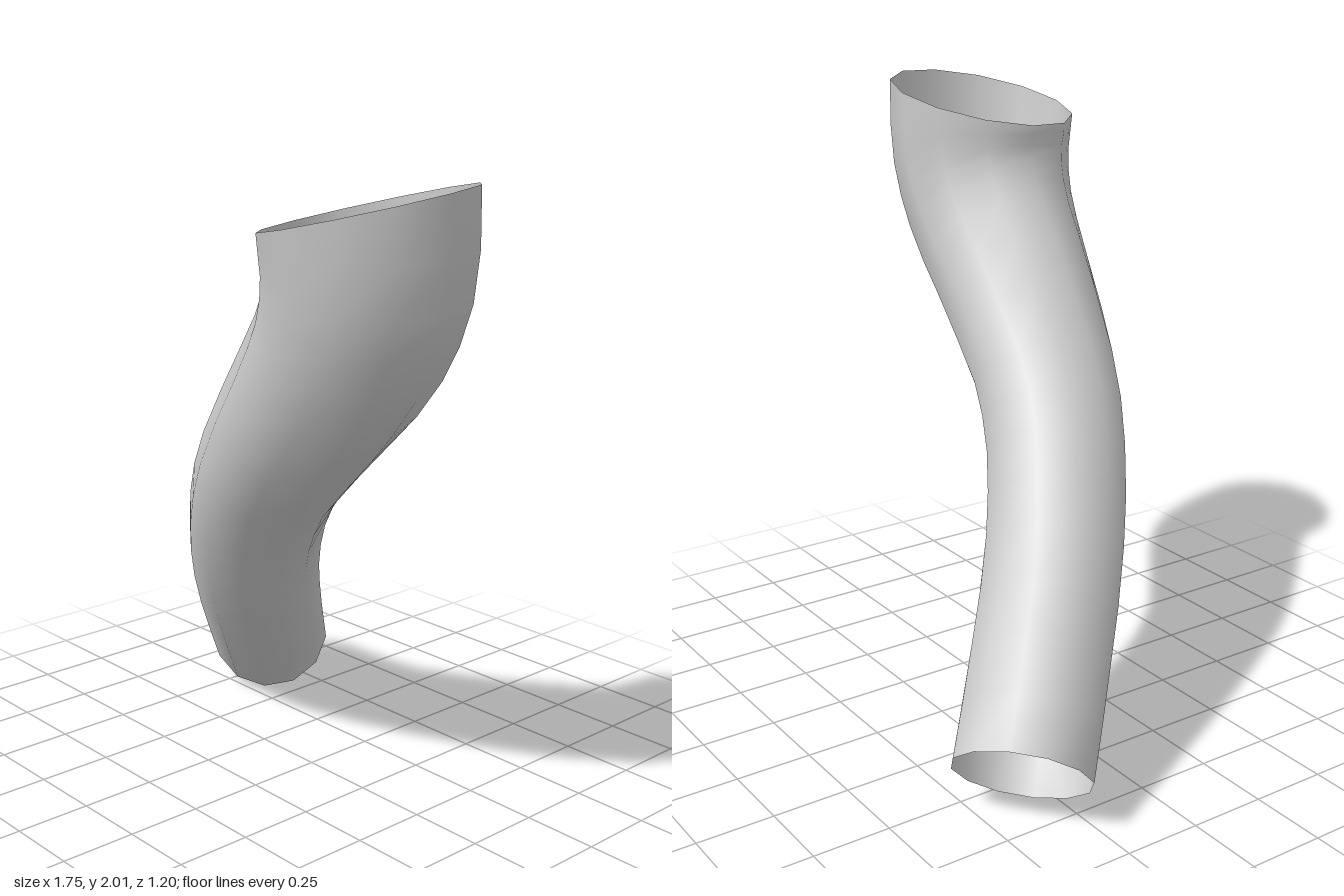
import * as THREE from 'three';
import { mergeVertices } from 'three/addons/utils/BufferGeometryUtils.js';

// Centre line stations from the lower to the upper opening: x, y, z, radius
const STATIONS = [
  [-0.70, 0.15, -0.415, 0.215],
  [-0.515, 0.39, -0.22, 0.218],
  [-0.325, 0.645, -0.03, 0.222],
  [-0.155, 0.88, 0.1, 0.228],
  [0.025, 1.09, 0.185, 0.238],
  [0.30, 1.365, 0.245, 0.265],
  [0.465, 1.56, 0.267, 0.285],
  [0.54, 1.73, 0.28, 0.302],
  [0.555, 1.93, 0.292, 0.318],
];
const SIDES = 12, RINGS = 16;
const RIM_NORMAL = new THREE.Vector3(-0.2, 1, 0.11).normalize();

function bentTube() {
  const path = new THREE.CatmullRomCurve3(STATIONS.map(s => new THREE.Vector3(s[0], s[1], s[2])));
  const radiusAt = t => {
    const f = t * (STATIONS.length - 1), i = Math.min(Math.floor(f), STATIONS.length - 2);
    return THREE.MathUtils.lerp(STATIONS[i][3], STATIONS[i + 1][3], f - i);
  };
  // Open cylinder, each ring carried onto the centre line
  let geo = new THREE.CylinderGeometry(1, 1, 1, SIDES, RINGS, true);
  geo.deleteAttribute('uv');
  geo.deleteAttribute('normal');
  geo = mergeVertices(geo);
  const pos = geo.attributes.position, p = new THREE.Vector3();
  const u = new THREE.Vector3(), w = new THREE.Vector3();
  for (let i = 0; i < pos.count; i++) {
    p.fromBufferAttribute(pos, i);
    const t = THREE.MathUtils.clamp(p.y + 0.5, 0, 1), r = radiusAt(t);
    // The upper rim is cut at its own tilt
    const axis = t > 0.999 ? RIM_NORMAL : path.getTangent(t);
    u.set(1, 0, 0).addScaledVector(axis, -axis.x).normalize();
    w.crossVectors(u, axis);
    const q = path.getPoint(t).addScaledVector(u, p.x * r).addScaledVector(w, p.z * r);
    pos.setXYZ(i, q.x, q.y, q.z);
  }
  geo.computeVertexNormals();
  return geo;
}

export function createModel() {
  const group = new THREE.Group();
  group.name = 'bentSleeve';
  const material = new THREE.MeshStandardMaterial({ color: 0xcccccc, side: THREE.DoubleSide });
  const tube = new THREE.Mesh(bentTube(), material);
  tube.name = 'sleeveTube';
  group.add(tube);
  return group;
}
